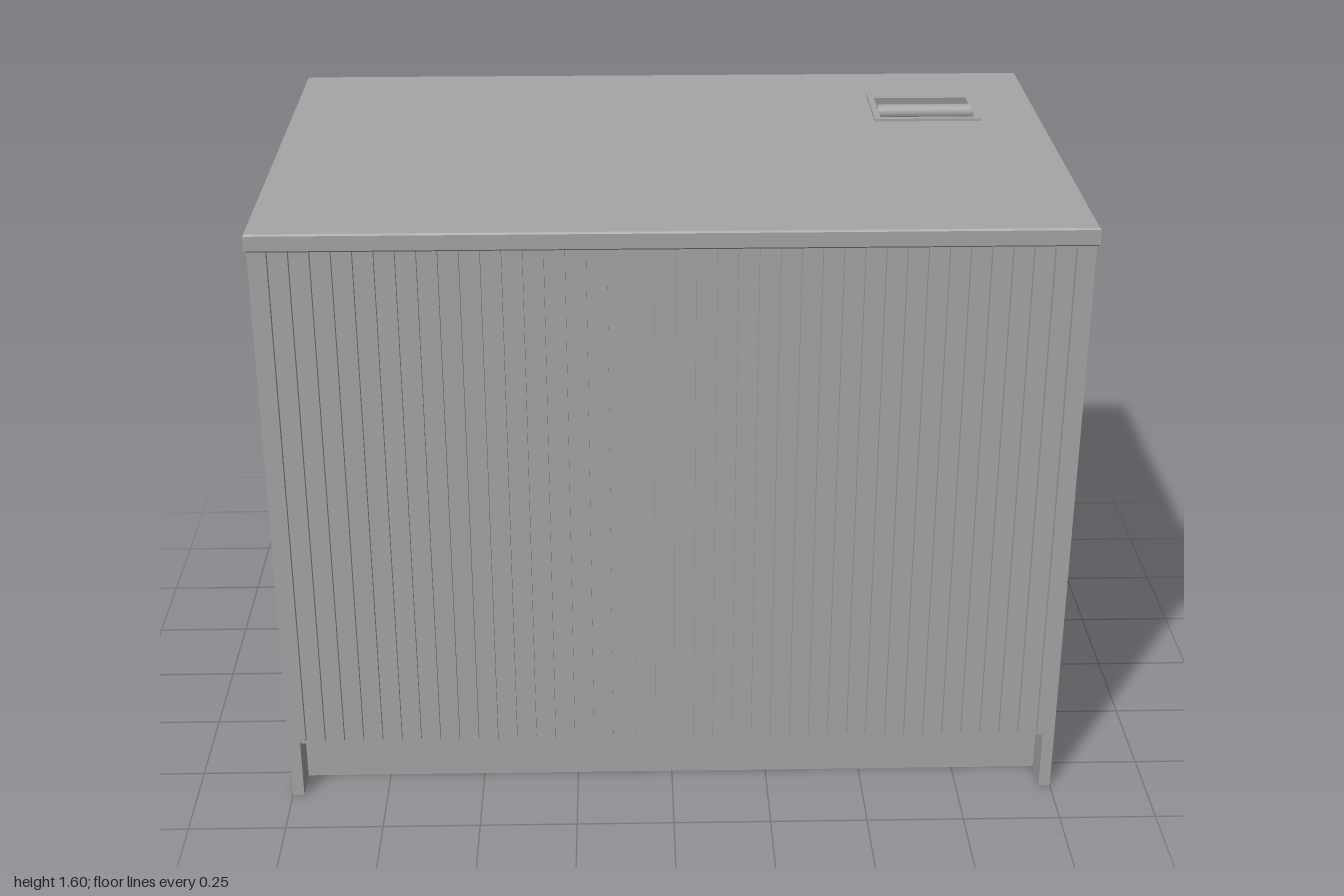
import * as THREE from 'three';

export function createModel() {
  const counter = new THREE.Group();
  counter.name = 'serviceCounter';
  const grey = new THREE.MeshStandardMaterial({ color: 0xa6a6a6 });
  grey.name = 'grey';

  const add = (name, geometry, parent = counter) => {
    const mesh = new THREE.Mesh(geometry, grey);
    mesh.name = name;
    parent.add(mesh);
    return mesh;
  };
  // Box given by its min and max on each axis
  const box = (name, x0, x1, y0, y1, z0, z1, parent) => {
    const mesh = add(name, new THREE.BoxGeometry(x1 - x0, y1 - y0, z1 - z0), parent);
    mesh.position.set((x0 + x1) / 2, (y0 + y1) / 2, (z0 + z1) / 2);
    return mesh;
  };
  const rod = (name, radius, length, axis, x, y, z, parent) => {
    const geometry = new THREE.CylinderGeometry(radius, radius, length, 20);
    if (axis === 'x') geometry.rotateZ(Math.PI / 2);
    if (axis === 'z') geometry.rotateX(Math.PI / 2);
    const mesh = add(name, geometry, parent);
    mesh.position.set(x, y, z);
    return mesh;
  };
  const rectangle = (Kind, x0, x1, z0, z1) => {
    const path = new Kind();
    path.moveTo(x0, -z0);
    path.lineTo(x1, -z0);
    path.lineTo(x1, -z1);
    path.lineTo(x0, -z1);
    path.closePath();
    return path;
  };
  // Plan outline extruded upwards
  const upright = (name, shape, y0, y1, bevel = 0, parent = counter) => {
    const geometry = new THREE.ExtrudeGeometry(shape, {
      depth: y1 - y0 - 2 * bevel, bevelEnabled: bevel > 0, bevelSize: bevel,
      bevelThickness: bevel, bevelOffset: -bevel, bevelSegments: 1,
    });
    geometry.rotateX(-Math.PI / 2);
    const mesh = add(name, geometry, parent);
    mesh.position.y = y0 + bevel;
    return mesh;
  };

  // Worktop with the waste opening
  const top = rectangle(THREE.Shape, -1, 1, -0.615, 0.64);
  top.holes.push(rectangle(THREE.Path, 0.566, 0.834, -0.389, -0.186));
  upright('worktop', top, 1.54, 1.585, 0.004);

  // Carcass
  for (const side of [-1, 1]) {
    const outer = side, inner = side * 0.97;
    box('sidePanel', Math.min(outer, inner), Math.max(outer, inner), 0, 1.53, -0.585, 0.605);
  }
  box('bottomShelf', -0.97, 0.97, 0.15, 0.18, -0.58, 0.57);
  box('middleShelf', -0.97, 0.97, 0.75, 0.78, -0.55, 0.57);
  box('frontKickboard', -0.97, 0.97, 0, 0.15, 0.485, 0.515);
  box('rearKickboard', -0.97, 0.97, 0, 0.15, -0.525, -0.495);

  // Fluted front: one comb-shaped section
  const comb = new THREE.Shape();
  const front = -0.605, groove = -0.589, half = 0.005;
  comb.moveTo(-0.97, -0.57);
  comb.lineTo(-0.97, front);
  for (let i = 0; i < 39; i++) {
    const x = -0.95 + i * 0.05;
    comb.lineTo(x - half, front);
    comb.lineTo(x - half, groove);
    comb.lineTo(x + half, groove);
    comb.lineTo(x + half, front);
  }
  comb.lineTo(0.97, front);
  comb.lineTo(0.97, -0.57);
  comb.closePath();
  upright('flutedFront', comb, 0.165, 1.53);
  box('frontBottomRail', -0.97, 0.97, 0.15, 0.165, 0.57, 0.589);

  // Waste chute, open at both ends, with rim and roller
  const chute = new THREE.Group();
  chute.name = 'wasteChute';
  counter.add(chute);
  const tube = rectangle(THREE.Shape, 0.566, 0.834, -0.389, -0.186);
  tube.holes.push(rectangle(THREE.Path, 0.574, 0.826, -0.381, -0.194));
  upright('chuteWalls', tube, 1.04, 1.585, 0, chute);
  const rim = rectangle(THREE.Shape, 0.555, 0.84, -0.4, -0.175);
  rim.holes.push(rectangle(THREE.Path, 0.572, 0.828, -0.383, -0.192));
  upright('chuteRim', rim, 1.585, 1.592, 0, chute);
  rod('chuteRoller', 0.02, 0.252, 'x', 0.7, 1.576, -0.288, chute);

  // Drawer
  const drawer = new THREE.Group();
  drawer.name = 'drawer';
  counter.add(drawer);
  box('drawerFront', -0.95, -0.18, 1.325, 1.515, -0.597, -0.585, drawer);
  box('drawerBase', -0.94, -0.19, 1.335, 1.347, -0.585, 0.08, drawer);
  box('drawerSide', -0.94, -0.925, 1.347, 1.505, -0.585, 0.08, drawer);
  box('drawerSide', -0.205, -0.19, 1.347, 1.505, -0.585, 0.08, drawer);
  box('drawerInnerFront', -0.925, -0.205, 1.347, 1.505, -0.585, -0.57, drawer);
  box('drawerEnd', -0.925, -0.205, 1.347, 1.505, 0.065, 0.08, drawer);
  rod('drawerHandle', 0.008, 0.27, 'x', -0.565, 1.427, -0.632, drawer);
  for (const x of [-0.675, -0.455]) rod('handlePost', 0.006, 0.037, 'z', x, 1.427, -0.614, drawer);
  rod('drawerLock', 0.015, 0.01, 'z', -0.28, 1.427, -0.601, drawer);

  return counter;
}
